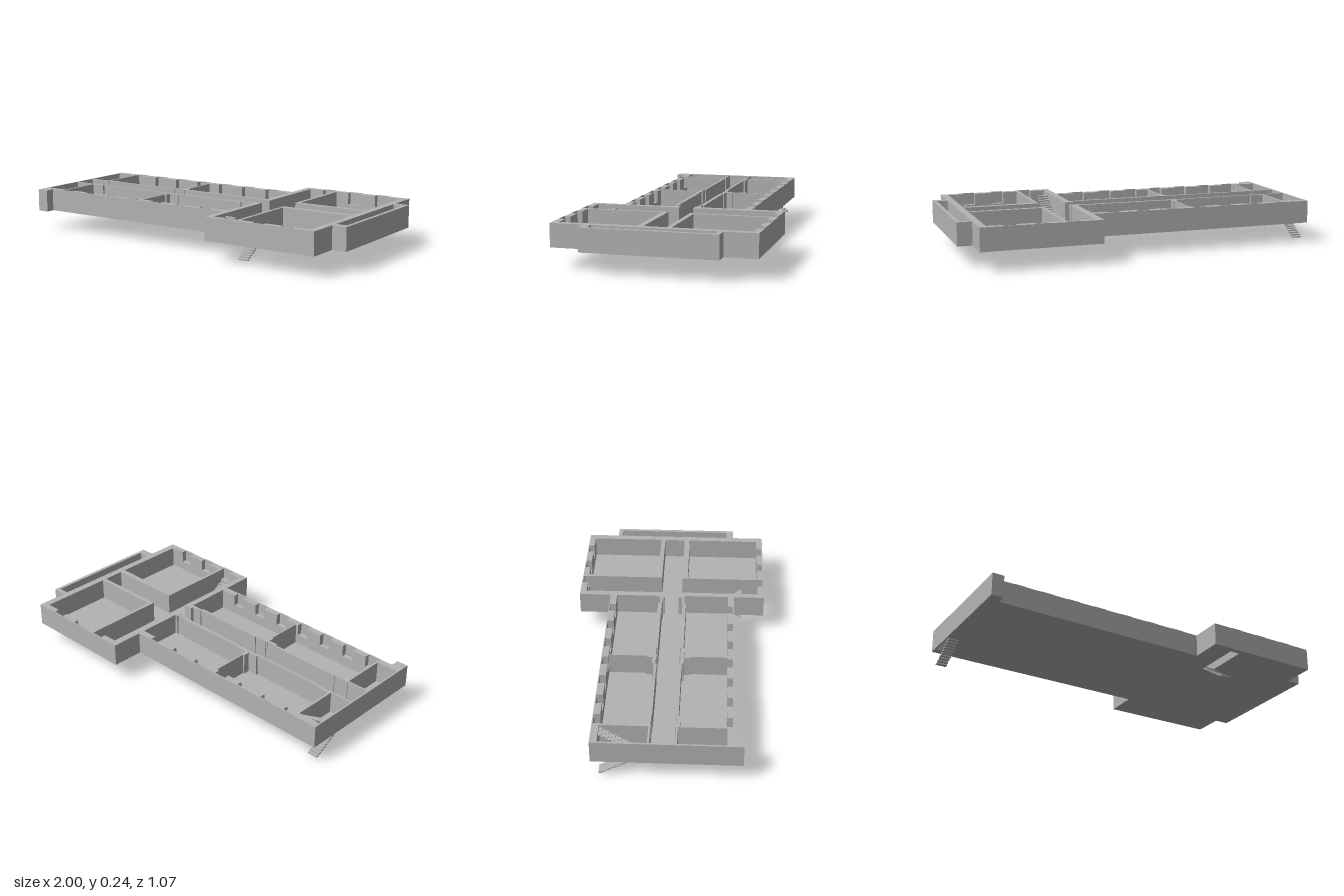
import * as THREE from 'three';

const BASE = 0.11, SILL = 0.17, TOP = 0.235;

export function createModel() {
  const model = new THREE.Group();
  model.name = 'buildingStorey';
  const plaster = new THREE.MeshStandardMaterial({ color: 0xb3b3b3 });
  plaster.name = 'plaster grey';

  const group = (name) => {
    const g = new THREE.Group();
    g.name = name;
    model.add(g);
    return g;
  };

  // Box given by its limits in plan and height
  const block = (parent, name, x0, x1, z0, z1, y0 = BASE, y1 = TOP) => {
    const mesh = new THREE.Mesh(new THREE.BoxGeometry(x1 - x0, y1 - y0, z1 - z0), plaster);
    mesh.position.set((x0 + x1) / 2, (y0 + y1) / 2, (z0 + z1) / 2);
    mesh.name = name;
    parent.add(mesh);
  };

  // Floor slab with the two stair openings
  const outline = [
    [-1, -0.36], [0.27, -0.36], [0.27, -0.54], [0.92, -0.54], [0.92, -0.365], [1, -0.365],
    [1, 0.35], [0.92, 0.35], [0.92, 0.53], [0.275, 0.53], [0.275, 0.355], [-1, 0.355],
  ];
  const toPoints = (list) => list.map(([x, z]) => new THREE.Vector2(x, z));
  const floor = new THREE.Shape(toPoints(outline));
  const opening = (x0, x1, z0, z1) =>
    floor.holes.push(new THREE.Path(toPoints([[x0, z0], [x0, z1], [x1, z1], [x1, z0]])));
  opening(-0.99, -0.928, -0.32, -0.165);
  opening(0.4, 0.457, 0.25, 0.495);
  const slab = new THREE.ExtrudeGeometry(floor, { depth: 0.006, bevelEnabled: false });
  slab.rotateX(Math.PI / 2);
  slab.translate(0, BASE + 0.006, 0);
  const slabMesh = new THREE.Mesh(slab, plaster);
  slabMesh.name = 'floorSlab';
  model.add(slabMesh);

  // Outer wall along x: parapet, piers between the niches, thin panes on the outside
  const windowWall = (name, x0, x1, z0, z1, centres, width = 0.068) => {
    const g = group(name);
    block(g, 'parapet', x0, x1, z0, z1, BASE, SILL);
    let from = x0;
    for (const c of centres) {
      const a = c - width / 2, b = c + width / 2;
      block(g, 'pier', from, a, z0, z1, SILL, TOP);
      const outer = z0 < 0 ? z0 : z1 - 0.006;
      block(g, 'windowPane', a, b, outer, outer + 0.006, SILL, TOP + 0.002);
      from = b;
    }
    block(g, 'pier', from, x1, z0, z1, SILL, TOP);
  };
  const wingWindows = [-0.82, -0.665, -0.505, -0.345, -0.185, -0.02, 0.145];
  const blockWindows = [0.425, 0.59, 0.76];
  windowWall('wingBackWall', -1, 0.275, -0.36, -0.322, wingWindows);
  windowWall('wingFrontWall', -1, 0.28, 0.32, 0.355, wingWindows);
  windowWall('blockBackWall', 0.27, 0.92, -0.54, -0.505, blockWindows);
  windowWall('blockFrontWall', 0.275, 0.92, 0.495, 0.53, blockWindows);

  // Plain outer walls
  const outer = group('outerWalls');
  block(outer, 'wingEndWall', -1, -0.99, -0.36, 0.36);
  block(outer, 'cornerPilaster', -1, -0.935, 0.35, 0.405);
  block(outer, 'blockSideWall', 0.27, 0.308, -0.54, -0.06);
  block(outer, 'blockSideWall', 0.275, 0.31, 0.04, 0.53);
  block(outer, 'blockEndWall', 0.88, 0.92, -0.54, 0.53);
  block(outer, 'baySideWall', 0.98, 1, -0.365, 0.35);
  block(outer, 'bayBackWall', 0.92, 1, -0.365, -0.34);
  block(outer, 'bayFrontWall', 0.92, 1, 0.31, 0.35);

  // Corridor walls, cross walls and their piers, on both sides of the wing
  const inner = group('innerWalls');
  for (const s of [-1, 1]) {
    const part = (name, x0, x1, a, b) =>
      block(inner, name, x0, x1, Math.min(s * a, s * b), Math.max(s * a, s * b));
    part('corridorWall', -0.99, -0.855, 0.064, 0.074);
    part('corridorWall', -0.855, -0.78, 0.064, 0.084);
    part('corridorWall', -0.78, -0.36, 0.06, 0.074);
    part('corridorWall', -0.36, -0.22, 0.066, 0.085);
    part('corridorWall', -0.22, 0.2, 0.06, 0.08);
    part('corridorWall', 0.2, 0.28, 0.055, 0.07);
    part('crossWall', -0.867, -0.855, 0.06, 0.33);
    part('crossWall', -0.296, -0.288, 0.06, 0.33);
    part('crossWallPier', -0.305, -0.28, 0.065, 0.12);
  }
  block(inner, 'corridorPier', 0.255, 0.31, -0.08, -0.045);
  block(inner, 'corridorPier', 0.26, 0.31, 0.035, 0.07);

  // Two large rooms of the end block
  block(inner, 'hallWall', 0.46, 0.48, -0.51, -0.07);
  block(inner, 'hallWall', 0.457, 0.475, 0.05, 0.5);
  block(inner, 'roomWall', 0.46, 0.88, -0.095, -0.07);
  block(inner, 'roomWall', 0.457, 0.88, 0.05, 0.082);

  // Stair flights made of overlapping treads; rise is negative for flights going down
  const flight = (name, x0, x1, zStart, zStep, yStart, rise, count) => {
    const g = group(name);
    for (let i = 0; i < count; i++) {
      const z = zStart + i * zStep, y = yStart + i * rise;
      const reach = z + zStep * 1.15;
      block(g, 'tread', x0, x1, Math.min(z, reach), Math.max(z, reach), y, y + 0.0075);
    }
  };
  flight('frontStairDown', 0.4, 0.457, 0.238, 0.015, 0.102, -0.0102, 11);
  flight('frontStairUp', 0.313, 0.372, 0.25, 0.0148, 0.117, 0.0105, 10);
  flight('backStairDown', -0.987, -0.93, -0.153, -0.0165, 0.103, -0.0094, 10);
  flight('backStairUp', -0.925, -0.867, -0.16, -0.016, 0.117, 0.0105, 10);

  return model;
}
